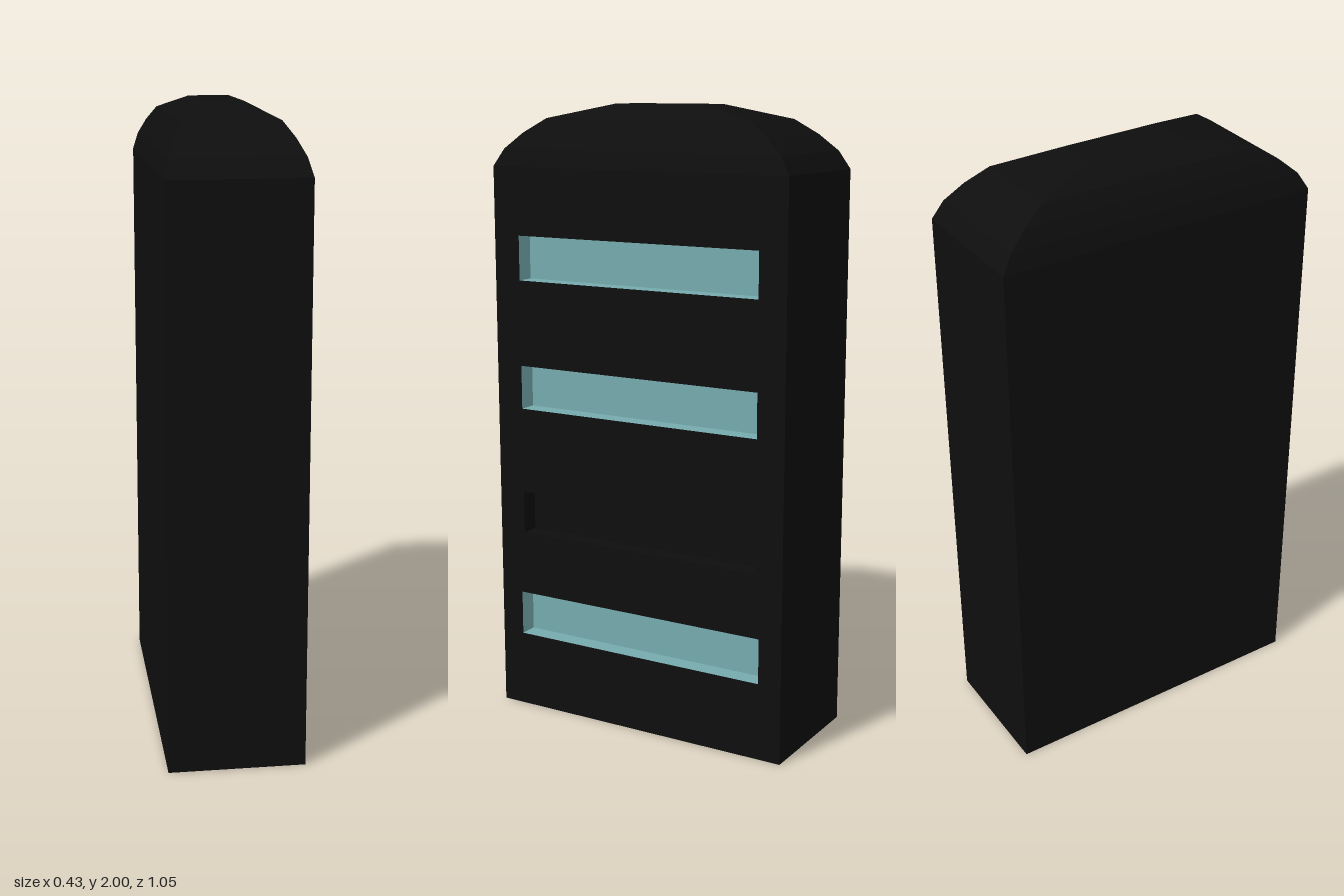
import * as THREE from 'three';

const W = 0.213, D = 0.523, EAVE = 1.805, SLOT_DEPTH = 0.06;

const black = new THREE.MeshStandardMaterial({ name: 'black casing', color: 0x0e0e0e });
const teal = new THREE.MeshStandardMaterial({ name: 'pale teal', color: 0x76abae });

// Slots from top to bottom: lower edge, upper edge, half length, material
const slots = [
  { name: 'topSlot', y0: 1.445, y1: 1.588, half: 0.43, material: teal },
  { name: 'upperSlot', y0: 1.025, y1: 1.167, half: 0.43, material: teal },
  { name: 'darkSlot', y0: 0.605, y1: 0.746, half: 0.43, material: black },
  { name: 'bottomSlot', y0: 0.25, y1: 0.396, half: 0.445, material: teal },
];

// Flat-shaded copy of a geometry
function faceted(geometry) {
  const flat = geometry.toNonIndexed();
  flat.computeVertexNormals();
  return flat;
}

// Casing: rectangular rings joined upwards, leaving out the slotted +x wall
function casingGeometry() {
  const rings = [[0, 1], [EAVE, 1], [1.86, 0.935], [1.91, 0.825], [1.955, 0.69], [2, 0.3]];
  const corners = [[1, 1], [1, -1], [-1, -1], [-1, 1]];
  const positions = [], index = [];
  for (const [y, s] of rings) {
    for (const [x, z] of corners) positions.push(x * W * s, y, z * D * s);
  }
  for (let r = 0; r < rings.length - 1; r++) {
    for (let c = r === 0 ? 1 : 0; c < 4; c++) {
      const a = r * 4 + c, b = r * 4 + (c + 1) % 4;
      index.push(a, b, b + 4, a, b + 4, a + 4);
    }
  }
  const t = (rings.length - 1) * 4;
  index.push(t, t + 1, t + 2, t, t + 2, t + 3); // crown
  index.push(0, 2, 1, 0, 3, 2); // underside
  const geometry = new THREE.BufferGeometry();
  geometry.setAttribute('position', new THREE.Float32BufferAttribute(positions, 3));
  geometry.setIndex(index);
  return faceted(geometry);
}

// Flat wall with one rectangular opening per slot
function slottedWallGeometry() {
  const rect = (half, y0, y1) => [[-half, y0], [half, y0], [half, y1], [-half, y1]]
    .map(([x, y]) => new THREE.Vector2(x, y));
  const wall = new THREE.Shape(rect(D, 0, EAVE));
  for (const s of slots) wall.holes.push(new THREE.Path(rect(s.half, s.y0, s.y1).reverse()));
  return new THREE.ShapeGeometry(wall).rotateY(Math.PI / 2).translate(W, 0, 0);
}

// Recess lining: a box without its +x face, turned to face inwards
function liningGeometry({ y0, y1, half }) {
  const box = new THREE.BoxGeometry(SLOT_DEPTH, y1 - y0, half * 2);
  box.setIndex(Array.from(box.index.array).slice(6).reverse());
  box.clearGroups();
  return faceted(box).translate(W - SLOT_DEPTH / 2, (y0 + y1) / 2, 0);
}

export function createModel() {
  const model = new THREE.Group();
  model.name = 'slottedCabinet';
  const add = (name, geometry, material) => {
    const mesh = new THREE.Mesh(geometry, material);
    mesh.name = name;
    model.add(mesh);
  };
  add('casing', casingGeometry(), black);
  add('slottedWall', slottedWallGeometry(), black);
  for (const s of slots) add(s.name, liningGeometry(s), s.material);
  return model;
}
